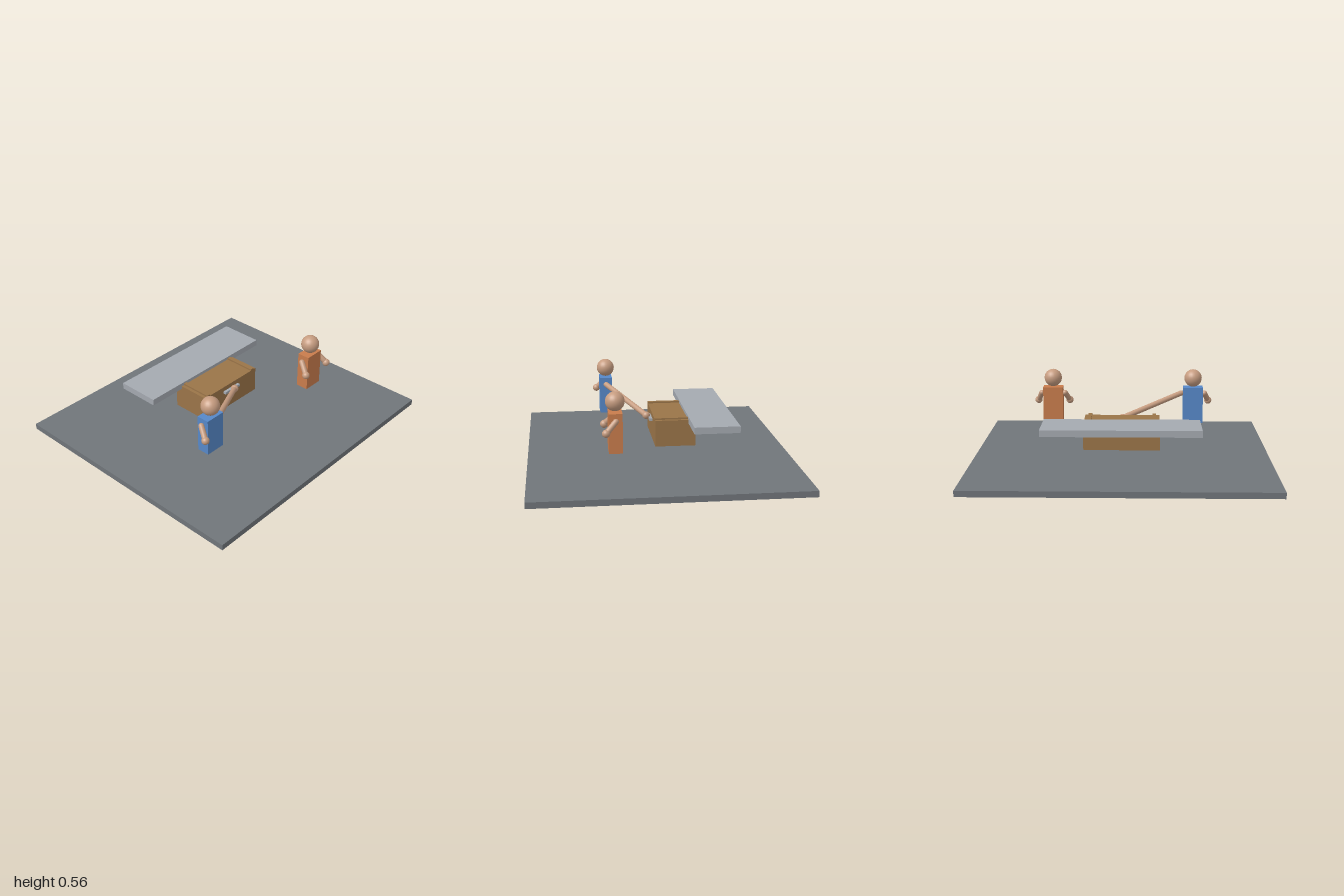
import * as THREE from 'three';

const mat = (name, color) => {
  const m = new THREE.MeshStandardMaterial({ color });
  m.name = name;
  return m;
};

export function createModel() {
  const model = new THREE.Group();
  const slate = mat('slate floor', 0x70757a);
  const steel = mat('pale steel', 0xa4a9b0);
  const wood = mat('brown wood', 0x9a7448);
  const blue = mat('blue shirt', 0x5688c8);
  const orange = mat('orange shirt', 0xc87c4c);
  const skin = mat('skin', 0xc69c80);

  // Box given by its lowest and highest corners
  const box = (parent, name, material, [x0, y0, z0], [x1, y1, z1]) => {
    const mesh = new THREE.Mesh(new THREE.BoxGeometry(x1 - x0, y1 - y0, z1 - z0), material);
    mesh.position.set((x0 + x1) / 2, (y0 + y1) / 2, (z0 + z1) / 2);
    mesh.name = name;
    parent.add(mesh);
  };
  const ball = (parent, name, radius, position) => {
    const mesh = new THREE.Mesh(new THREE.SphereGeometry(radius, 24, 16), skin);
    mesh.position.copy(position);
    mesh.name = name;
    parent.add(mesh);
  };

  // Round-ended arm from shoulder to hand
  const arm = (parent, name, from, to) => {
    const group = new THREE.Group();
    group.name = name;
    const dir = to.clone().sub(from);
    const limb = new THREE.Mesh(new THREE.CapsuleGeometry(0.019, dir.length(), 6, 16), skin);
    limb.name = 'limb';
    limb.position.copy(from).addScaledVector(dir, 0.5);
    limb.quaternion.setFromUnitVectors(new THREE.Vector3(0, 1, 0), dir.normalize());
    group.add(limb);
    ball(group, 'hand', 0.026, to);
    parent.add(group);
  };

  // Floor slab
  box(model, 'floor', slate, [-1, 0, -0.875], [1, 0.04, 0.875]);

  // Counter slab
  box(model, 'counterTop', steel, [-0.52, 0.273, -0.488], [0.52, 0.317, -0.19]);

  // Cabinet with raised rails and a handle
  const cabinet = new THREE.Group();
  cabinet.name = 'cabinet';
  box(cabinet, 'cabinetBody', wood, [-0.255, 0.118, -0.24], [0.255, 0.295, 0.03]);
  for (const s of [-1, 1]) {
    box(cabinet, 'topRail', wood, [s * 0.22 - 0.013, 0.29, -0.24], [s * 0.22 + 0.013, 0.306, 0.03]);
  }
  box(cabinet, 'handle', steel, [-0.072, 0.244, 0.03], [0.07, 0.262, 0.05]);
  model.add(cabinet);

  // Two figures; one reaches for the handle
  const z = 0.3125;
  const person = (name, shirt, x, reach) => {
    const figure = new THREE.Group();
    figure.name = name;
    box(figure, 'torso', shirt, [x - 0.07, 0.178, z - 0.0435], [x + 0.07, 0.435, z + 0.0435]);
    ball(figure, 'head', 0.062, new THREE.Vector3(x, 0.5, z));
    for (const s of [-1, 1]) {
      const shoulder = new THREE.Vector3(x + s * 0.083, 0.39, z);
      const hand = s > 0 && reach ? reach : new THREE.Vector3(x + s * 0.113, 0.324, z + 0.063);
      arm(figure, s > 0 ? 'leftArm' : 'rightArm', shoulder, hand);
    }
    model.add(figure);
  };
  person('reachingFigure', blue, -0.5, new THREE.Vector3(0, 0.266, 0.065));
  person('standingFigure', orange, 0.5);

  return model;
}
